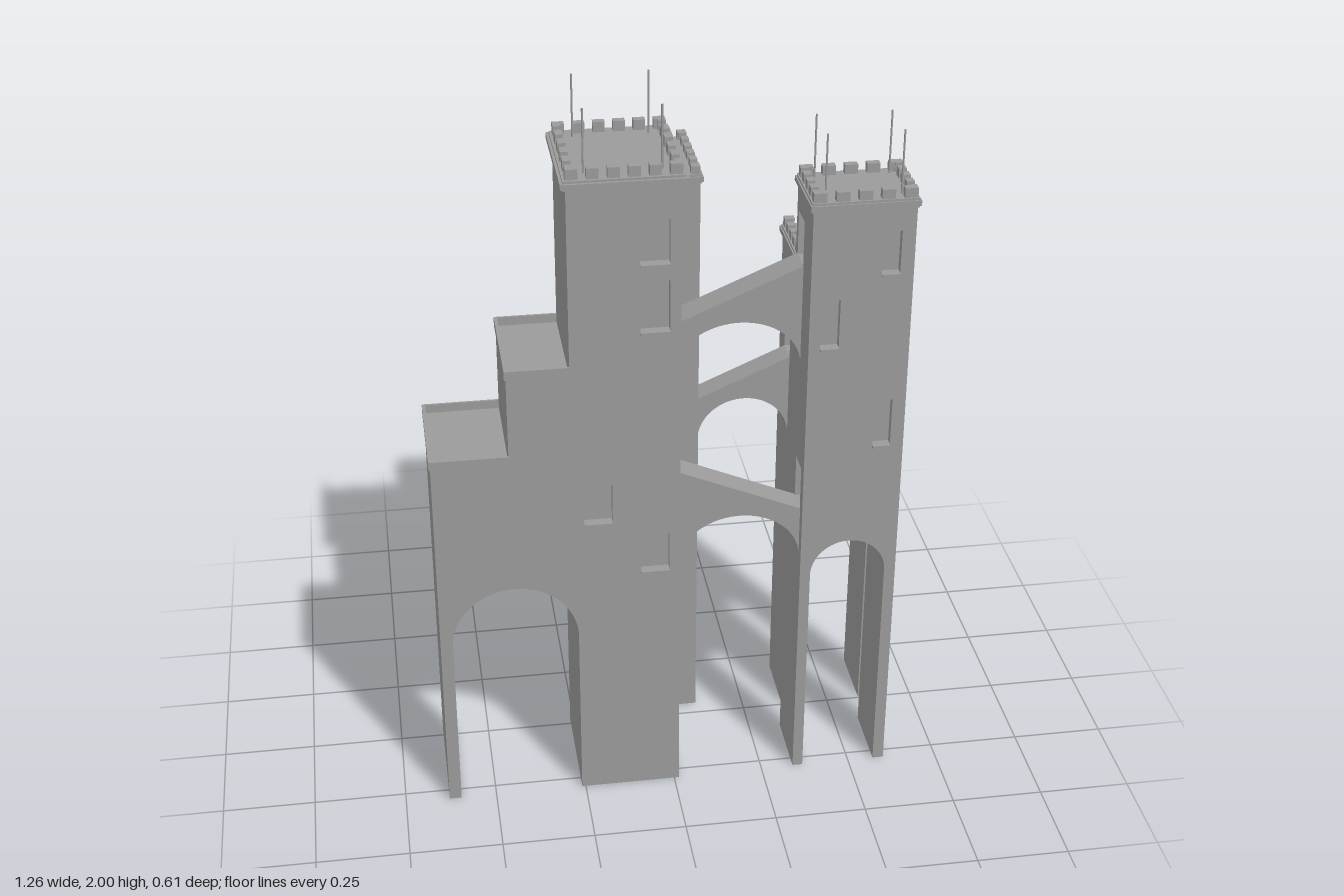
import * as THREE from 'three';

const mat = new THREE.MeshStandardMaterial({ color: 0x9b9b9b });
const LAYER = 0.02; // depth of window and door recesses

function add(parent, name, geometry, x = 0, y = 0, z = 0) {
  const mesh = new THREE.Mesh(geometry, mat);
  mesh.name = name;
  mesh.position.set(x, y, z);
  parent.add(mesh);
  return mesh;
}

// Box given by its limits on each axis
function block(parent, name, x0, x1, y0, y1, z0, z1) {
  return add(parent, name, new THREE.BoxGeometry(x1 - x0, y1 - y0, z1 - z0),
    (x0 + x1) / 2, (y0 + y1) / 2, (z0 + z1) / 2);
}

// Wall outline: ground line (with optional arch [x0, x1, spring, rise]), then the upper corners
function outline(x0, x1, upper, arch, holes = []) {
  const s = new THREE.Shape();
  s.moveTo(x0, 0);
  if (arch) {
    const [a, b, spring, rise] = arch;
    s.lineTo(a, 0);
    s.lineTo(a, spring);
    s.absellipse((a + b) / 2, spring, (b - a) / 2, rise, Math.PI, 0, true);
    s.lineTo(b, 0);
  }
  s.lineTo(x1, 0);
  upper.forEach(([x, y]) => s.lineTo(x, y));
  s.closePath();
  for (const [a, b, c, d] of holes) {
    const h = new THREE.Path();
    h.moveTo(a, c);
    h.lineTo(a, d);
    h.lineTo(b, d);
    h.lineTo(b, c);
    h.closePath();
    s.holes.push(h);
  }
  return s;
}

const box = (x0, x1, top, arch, holes) => outline(x0, x1, [[x1, top], [x0, top]], arch, holes);

// Extrude along z
function slabZ(parent, name, shape, z0, z1) {
  return add(parent, name, new THREE.ExtrudeGeometry(shape,
    { depth: z1 - z0, bevelEnabled: false, curveSegments: 24 }), 0, 0, z0);
}

// Extrude along x; the shape's horizontal axis is -z
function slabX(parent, name, shape, x0, x1) {
  const mesh = slabZ(parent, name, shape, 0, x1 - x0);
  mesh.rotation.y = Math.PI / 2;
  mesh.position.x = x0;
  return mesh;
}

// Stepped cornice with overhang o, and merlons along each side meeting at the corners
function crown(parent, x0, x1, z0, z1, y, top, nx, nz, o) {
  const g = new THREE.Group();
  g.name = 'battlements';
  parent.add(g);
  const t = 0.02, deck = y + 0.02;
  block(g, 'corniceLower', x0 - o / 2, x1 + o / 2, y - 0.006, y, z0 - o / 2, z1 + o / 2);
  block(g, 'cornice', x0 - o, x1 + o, y, y + 0.014, z0 - o, z1 + o);
  block(g, 'deck', x0 - o / 2, x1 + o / 2, y + 0.014, deck, z0 - o / 2, z1 + o / 2);
  const row = (lo, hi, n, make) => {
    const width = (hi - lo) / (n + 2 + 0.7 * (n + 1));
    for (let i = 0; i < n + 2; i++) {
      const start = lo + width * 1.7 * i;
      make(start, start + width);
    }
  };
  row(x0, x1, nx, (p, q) => {
    block(g, 'merlon', p, q, deck, top, z0, z0 + t);
    block(g, 'merlon', p, q, deck, top, z1 - t, z1);
  });
  row(z0, z1, nz, (p, q) => {
    const a = Math.max(p, z0 + t), b = Math.min(q, z1 - t);
    block(g, 'merlon', x0, x0 + t, deck, top, a, b);
    block(g, 'merlon', x1 - t, x1, deck, top, a, b);
  });
}

function masts(parent, xs, zs, y, top) {
  for (const x of xs) for (const z of zs) {
    add(parent, 'mast', new THREE.CylinderGeometry(0.0025, 0.0025, top - y, 8), x, (y + top) / 2, z);
  }
}

function sills(parent, windows, z) {
  for (const [a, b, c] of windows) block(parent, 'windowSill', a, b, c - 0.003, c + 0.005, z - LAYER, z + 0.008);
}

// Sloping bridge with an elliptical arch below
function bridge(parent, name, x0, x1, yLeft, yRight, spring, rise, z0, z1) {
  const s = new THREE.Shape();
  s.moveTo(x0, yLeft);
  s.lineTo(x0, spring);
  s.absellipse((x0 + x1) / 2, spring, (x1 - x0) / 2, rise, Math.PI, 0, true);
  s.lineTo(x1, yRight);
  s.closePath();
  slabZ(parent, name, s, z0, z1);
}

export function createModel() {
  const model = new THREE.Group();
  model.name = 'towerComplex';
  const part = (name) => {
    const g = new THREE.Group();
    g.name = name;
    model.add(g);
    return g;
  };

  // Main tower with two terraces stepping down over a large arch
  const main = part('mainTower');
  const mainArch = [-0.597, -0.26, 0.512, 0.168];
  const steps = [[-0.27, 1.815], [-0.27, 1.305], [-0.43, 1.305], [-0.43, 1.06], [-0.63, 1.06]];
  const mainWindows = [[-0.09, -0.015, 1.595, 1.718], [-0.09, -0.015, 1.41, 1.553],
    [-0.24, -0.165, 0.86, 0.977], [-0.09, -0.015, 0.7, 0.817]];
  slabZ(main, 'body', outline(-0.63, -0.007, [[-0.007, 1.815], ...steps], mainArch), -0.018, 0.268);
  slabZ(main, 'frontWall', outline(-0.63, 0.013, [[0.013, 1.815], ...steps], mainArch, mainWindows), 0.268, 0.288);
  slabX(main, 'sideWall', box(-0.268, 0.018, 1.815, null,
    [[-0.25, -0.185, 0.98, 1.1], [-0.185, -0.115, 1.38, 1.51]]), -0.007, 0.013);
  sills(main, mainWindows, 0.288);
  for (const [x0, x1, y] of [[-0.634, -0.43, 1.06], [-0.434, -0.27, 1.305]]) {
    block(main, 'terraceParapet', x0, x0 + 0.009, y, y + 0.024, -0.018, 0.288);
    block(main, 'terraceParapet', x0, x1, y, y + 0.024, 0.283, 0.289);
    block(main, 'terraceParapet', x0, x1, y, y + 0.024, -0.019, -0.013);
  }
  crown(main, -0.27, 0.015, -0.02, 0.29, 1.815, 1.862, 4, 4, 0.014);
  masts(main, [-0.222, -0.03], [0.02, 0.25], 1.83, 2);

  // Back tower, its arch running from side to side
  const back = part('backTower');
  const backArch = [0.07, 0.27, 0.67, 0.102];
  slabX(back, 'body', box(0.045, 0.298, 1.67, backArch), -0.072, 0.094);
  slabX(back, 'sideWall', box(0.045, 0.298, 1.67, backArch, [[0.055, 0.125, 1.02, 1.14]]), 0.094, 0.114);
  crown(back, -0.073, 0.113, -0.299, -0.045, 1.667, 1.708, 3, 4, 0.008);

  // Front side tower
  const front = part('frontSideTower');
  const frontArch = [0.368, 0.572, 0.642, 0.102];
  const frontWindows = [[0.52, 0.567, 1.525, 1.645], [0.37, 0.418, 1.325, 1.463], [0.52, 0.567, 1.03, 1.168]];
  slabZ(front, 'body', box(0.36, 0.602, 1.715, frontArch), 0.095, 0.262);
  slabZ(front, 'frontWall', box(0.34, 0.602, 1.715, frontArch, frontWindows), 0.262, 0.282);
  slabX(front, 'sideWall', box(-0.262, -0.095, 1.715, null,
    [[-0.25, -0.185, 0.84, 0.96], [-0.185, -0.115, 1.52, 1.64]]), 0.34, 0.36);
  sills(front, frontWindows, 0.282);
  crown(front, 0.34, 0.602, 0.095, 0.28, 1.712, 1.757, 3, 3, 0.008);
  masts(front, [0.375, 0.567], [0.12, 0.25], 1.725, 1.9);

  // Rear side tower
  const rear = part('rearSideTower');
  slabZ(rear, 'body', box(0.385, 0.623, 1.445, [0.393, 0.595, 0.642, 0.101]), -0.192, -0.007);
  slabX(rear, 'sideWall', box(0.007, 0.192, 1.445, null, [[0.055, 0.125, 1.13, 1.25]]), 0.365, 0.385);
  crown(rear, 0.365, 0.623, -0.192, -0.007, 1.442, 1.487, 4, 3, 0.008);

  // Bridges between the towers
  const bridges = part('bridges');
  bridge(bridges, 'upperBridge', 0.013, 0.34, 1.38, 1.52, 1.242, 0.13, 0.11, 0.19);
  bridge(bridges, 'lowerBridge', 0.013, 0.34, 0.98, 0.84, 0.692, 0.14, 0.18, 0.255);
  bridge(bridges, 'backBridge', 0.114, 0.365, 1.02, 1.13, 0.892, 0.12, -0.125, -0.055);

  return model;
}
